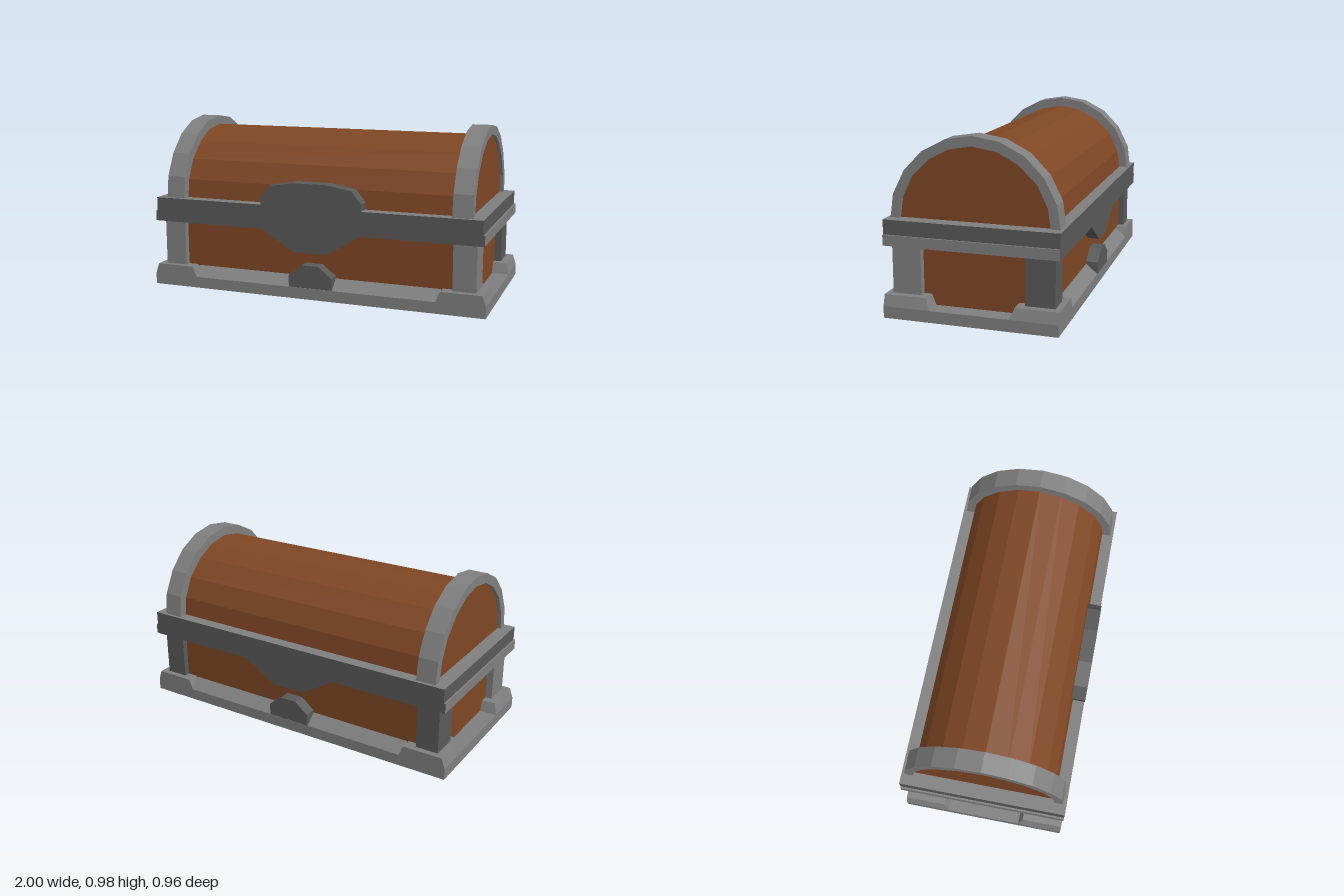
import * as THREE from 'three';

const mat = (name, color) => {
  const m = new THREE.MeshStandardMaterial({ color });
  m.name = name;
  return m;
};

export function createModel() {
  const wood = mat('brown wood', 0x7f4724);
  const light = mat('light iron', 0x7f7f7f);
  const dark = mat('dark iron', 0x595959);

  const chest = new THREE.Group();
  chest.name = 'chest';

  const add = (name, geometry, material, parent = chest) => {
    const mesh = new THREE.Mesh(geometry, material);
    mesh.name = name;
    parent.add(mesh);
    return mesh;
  };
  // box from its minimum and maximum corners
  const box = (x0, x1, y0, y1, z0, z1) =>
    new THREE.BoxGeometry(x1 - x0, y1 - y0, z1 - z0)
      .translate((x0 + x1) / 2, (y0 + y1) / 2, (z0 + z1) / 2);
  const shape = (pts) => new THREE.Shape(pts.map(([x, y]) => new THREE.Vector2(x, y)));
  const rect = (w, d) => [[-w, -d], [w, -d], [w, d], [-w, d]];
  const mirrored = (half) => [...half, ...half.slice(0, -1).reverse().map(([x, y]) => [-x, y])];
  const extrude = (s, depth) => new THREE.ExtrudeGeometry(s, { depth, bevelEnabled: false });
  // profile drawn in (-z, y), run along x
  const alongX = (pts, x0, x1) =>
    extrude(shape(pts), x1 - x0).rotateY(Math.PI / 2).translate(x0, 0, 0);
  // outline drawn in (x, z), run upwards
  const slab = (s, y0, y1) => extrude(s, y1 - y0).rotateX(-Math.PI / 2).translate(0, y0, 0);

  // base: open rim at the bottom, wooden floor, solid slab above
  const rim = shape(rect(1, 0.478));
  rim.holes.push(new THREE.Path(rect(0.95, 0.43).map(([x, y]) => new THREE.Vector2(x, y))));
  add('baseRim', slab(rim, 0, 0.01), light);
  add('floor', box(-0.95, 0.95, 0.004, 0.012, -0.43, 0.43), wood);
  add('baseSlab', box(-1, 1, 0.01, 0.065, -0.478, 0.478), light);

  // wooden body
  add('body', box(-0.9, 0.9, 0.06, 0.4, -0.41, 0.41), wood);

  // raised base corners with sloped ends, and corner posts
  for (const sx of [-1, 1]) {
    for (const sz of [-1, 1]) {
      const g = box(0.725, 1, 0.065, 0.125, 0.218, 0.478);
      const p = g.attributes.position;
      for (let i = 0; i < p.count; i++) {
        if (p.getY(i) > 0.1) {
          p.setX(i, p.getX(i) > 0.9 ? 0.98 : 0.75);
          if (p.getZ(i) < 0.3) p.setZ(i, 0.242);
        }
        p.setX(i, p.getX(i) * sx);
        p.setZ(i, p.getZ(i) * sz);
      }
      // a single mirroring turns the faces inside out, so reverse them
      if (sx * sz < 0) g.index.array.reverse();
      g.computeVertexNormals();
      add('baseCorner', g, light);

      const post = add('cornerPost', box(-0.065, 0.065, 0.1, 0.4, -0.08, 0.08), sz > 0 ? light : dark);
      post.position.set(sx * 0.875, 0, sz * 0.365);
    }
  }

  // fittings shared by the front and the back
  for (const turn of [0, Math.PI]) {
    const side = new THREE.Group();
    side.name = turn ? 'backFittings' : 'frontFittings';
    side.rotation.y = turn;
    chest.add(side);
    add('slopedLedge', alongX([[-0.476, 0.065], [-0.405, 0.125], [-0.405, 0.06]], -0.74, 0.74), light, side);
    add('lowerClasp', extrude(shape([
      [-0.13, 0.067], [0.13, 0.067], [0.13, 0.135], [0.05, 0.198], [-0.05, 0.198], [-0.13, 0.135],
    ]), 0.08).translate(0, 0, 0.4), dark, side);
    add('bandDrop', extrude(shape([
      [-0.3, 0.392], [-0.1, 0.27], [0.1, 0.27], [0.3, 0.392],
    ]), 0.078).translate(0, 0, 0.4), dark, side);
  }

  // iron band around the seam, with a lower strip on each end
  add('band', slab(shape(rect(0.975, 0.478)), 0.39, 0.53), [light, dark]);
  for (const s of [-1, 1]) {
    const strip = add('endStrip', box(-0.01, 0.01, 0.392, 0.45, -0.478, 0.478),
      [light, light, light, light, dark, dark]);
    strip.position.x = s * 0.975;
  }

  // hasp plate rising from the front of the band
  add('hasp', extrude(shape([
    [-0.3, 0.53], [0.3, 0.53], [0.303, 0.57], [0.245, 0.64], [0.1, 0.665],
    [-0.1, 0.665], [-0.245, 0.64], [-0.303, 0.57],
  ]), 0.08).translate(0, 0, 0.4), dark);

  // barrel lid and its iron end arches
  const inner = mirrored([[0.41, 0.53], [0.395, 0.635], [0.34, 0.75], [0.24, 0.847], [0.128, 0.905], [0, 0.927]]);
  const outer = mirrored([[0.46, 0.53], [0.443, 0.655], [0.377, 0.785], [0.275, 0.89], [0.145, 0.957], [0, 0.98]]);
  add('lid', alongX(inner, -0.895, 0.895), wood);
  for (const x0 of [-0.915, 0.803]) {
    add('lidArch', alongX([...outer, ...[...inner].reverse()], x0, x0 + 0.112), light);
  }

  return chest;
}
